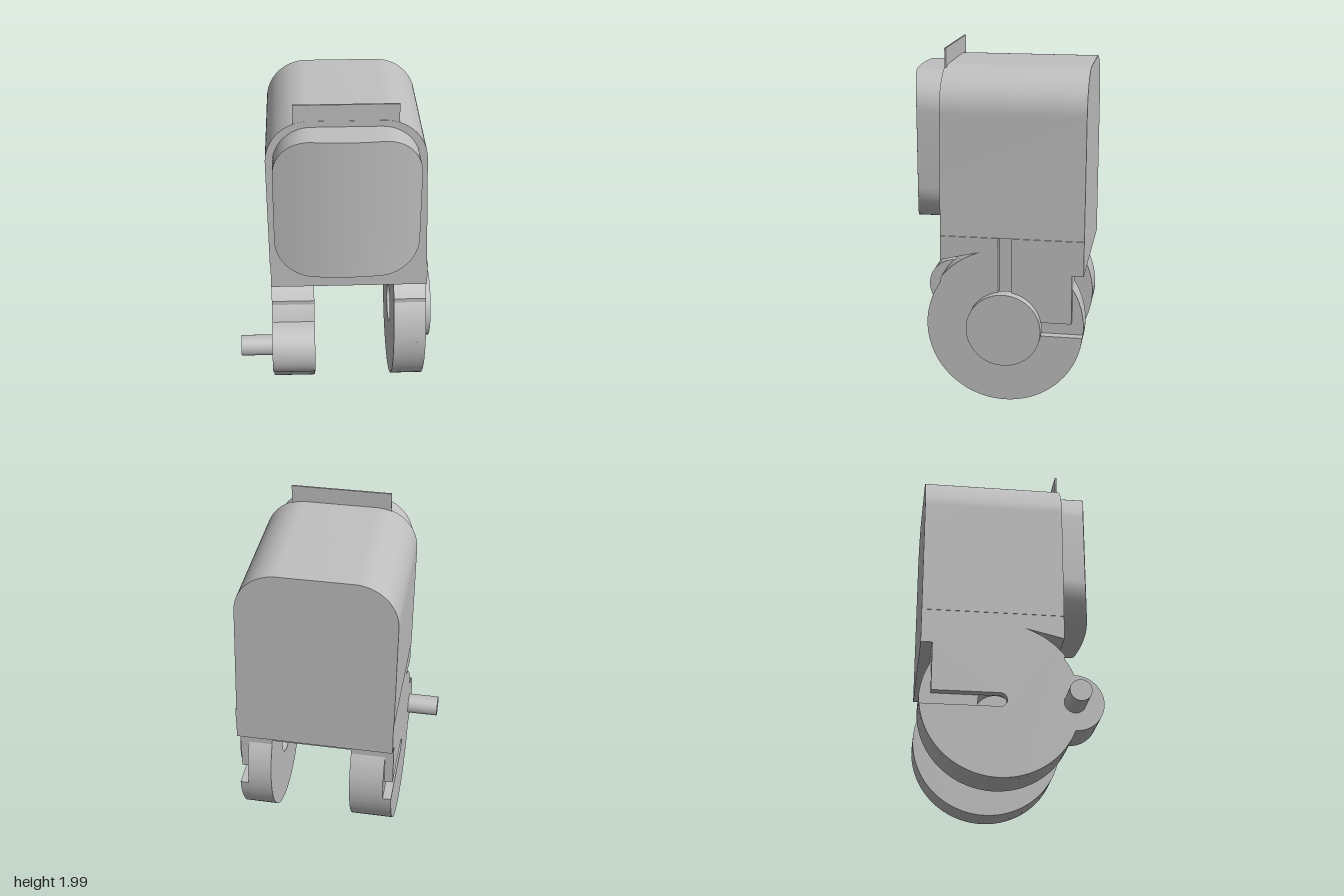
import * as THREE from 'three';
import { toCreasedNormals } from 'three/addons/utils/BufferGeometryUtils.js';

const CY = 0.45, CZ = -0.065; // hinge axis (y, z)

export function createModel() {
  const group = new THREE.Group();
  const grey = new THREE.MeshStandardMaterial({ color: 0xc0c0c0 });
  grey.name = 'grey';

  function add(name, geometry) {
    const mesh = new THREE.Mesh(toCreasedNormals(geometry, 0.5), grey);
    mesh.name = name;
    group.add(mesh);
    return mesh;
  }

  // points on a circle about the hinge axis, as [z, y]; 0 degrees faces the front
  function arc(r, from, to, n = 32) {
    return Array.from({ length: n + 1 }, (_, i) => {
      const a = THREE.MathUtils.degToRad(from + (to - from) * i / n);
      return [CZ + r * Math.cos(a), CY + r * Math.sin(a)];
    });
  }

  // side profile of [z, y] points, extruded from x0 to x1
  function slab(name, points, x0, x1, holeRadius = 0) {
    const shape = new THREE.Shape(points.map(([z, y]) => new THREE.Vector2(-z, y)));
    if (holeRadius) {
      const hole = new THREE.Path();
      hole.absarc(-CZ, CY, holeRadius, 0, Math.PI * 2, true);
      shape.holes.push(hole);
    }
    const geo = new THREE.ExtrudeGeometry(shape, { depth: x1 - x0, bevelEnabled: false, curveSegments: 32 });
    geo.rotateY(Math.PI / 2).translate(x0, 0, 0);
    return add(name, geo);
  }

  // cylinder along x
  function rod(name, r, x0, x1, y, z) {
    const geo = new THREE.CylinderGeometry(r, r, x1 - x0, 48);
    geo.rotateZ(Math.PI / 2).translate((x0 + x1) / 2, y, z);
    return add(name, geo);
  }

  // head block with rounded top corners
  const seam = 0.975;
  const head = new THREE.Shape();
  head.moveTo(-0.393, seam);
  head.lineTo(0.514, seam);
  head.lineTo(0.49, 1.66);
  head.absellipse(0.25, 1.66, 0.24, 0.245, 0, Math.PI / 2, false);
  head.absellipse(-0.16, 1.66, 0.24, 0.245, Math.PI / 2, Math.PI, false);
  head.closePath();
  const headGeo = new THREE.ExtrudeGeometry(head, { depth: 0.81, bevelEnabled: false, curveSegments: 16 });
  add('head', headGeo.translate(0, 0, -0.51));

  // bridge between the legs, hollowed around the hinge axis
  const frontEdge = [[0.3, seam], [0.3, 0.835]];
  const backEdge = [[-0.445, 0.775], [-0.51, 0.775], [-0.51, seam]];
  slab('bridge', [...frontEdge, ...arc(0.46, 72, 145.7), ...backEdge], -0.14, 0.33);

  // legs: a full inner layer with a hinge hole, and an outer layer with grooves
  const shoulder = [...frontEdge, ...arc(0.46, 72, 37.5, 10)];
  const inner = [...shoulder, ...arc(0.445, 34.9, -211.4, 64), ...backEdge];
  const disc = arc(0.445, 34.9, -174.8, 56);
  const cutBack = [[-0.445, 0.49], ...backEdge];
  const groove = [[-0.105, seam], [-0.105, 0.62], [-0.03, 0.62], [-0.03, seam]];
  slab('leftLegInner', inner, 0.33, 0.47, 0.12);
  slab('leftLegOuter',
    [...shoulder, ...disc, [-0.2, 0.41], [-0.2, 0.49], ...cutBack, ...groove], 0.47, 0.52);
  slab('rightLegInner', inner, -0.34, -0.14, 0.12);
  slab('rightLegOuter',
    [...shoulder, ...disc, ...arc(0.04, -90, 90, 12), ...cutBack], -0.39, -0.34);

  // hinge cap on one leg, lobe and pin on the other
  rod('hingeCap', 0.212, 0.5, 0.574, CY, CZ);
  rod('lobe', 0.164, -0.39, -0.14, CY, 0.35);
  rod('pin', 0.061, -0.576, -0.38, CY, 0.35);

  // upright tab above the front edge
  add('tab', new THREE.BoxGeometry(0.575, 0.2, 0.01).translate(0.0425, 1.9, 0.294));

  add('facePlate', facePlateGeometry());
  return group;
}

// rounded plate with a front that bulges across x, lofted from upright rectangles
function facePlateGeometry() {
  const x0 = -0.36, x1 = 0.45, y0 = 1.02, y1 = 1.87, r = 0.215, n = 12;
  const sections = [];
  const section = (x, inset) => {
    const t = (x - 0.045) / 0.405;
    const z = 0.487 - 0.052 * t * t;
    sections.push([[x, y0 + inset, 0.29], [x, y0 + inset, z], [x, y1 - inset, z], [x, y1 - inset, 0.29]]);
  };
  for (let i = 0; i <= n; i++) {
    const a = i / n * Math.PI / 2;
    section(x0 + r * (1 - Math.cos(a)), r * (1 - Math.sin(a)));
  }
  for (let i = 1; i < 8; i++) section(x0 + r + (x1 - x0 - 2 * r) * i / 8, 0);
  for (let i = n; i >= 0; i--) {
    const a = i / n * Math.PI / 2;
    section(x1 - r * (1 - Math.cos(a)), r * (1 - Math.sin(a)));
  }
  const pos = [];
  const quad = (a, b, c, d) => pos.push(...a, ...b, ...c, ...a, ...c, ...d);
  for (let i = 0; i < sections.length - 1; i++) {
    const s = sections[i], t = sections[i + 1];
    for (let k = 0; k < 4; k++) quad(s[k], t[k], t[(k + 1) % 4], s[(k + 1) % 4]);
  }
  const first = sections[0], last = sections[sections.length - 1];
  quad(first[0], first[1], first[2], first[3]);
  quad(last[3], last[2], last[1], last[0]);
  const geo = new THREE.BufferGeometry();
  geo.setAttribute('position', new THREE.Float32BufferAttribute(pos, 3));
  return geo;
}
